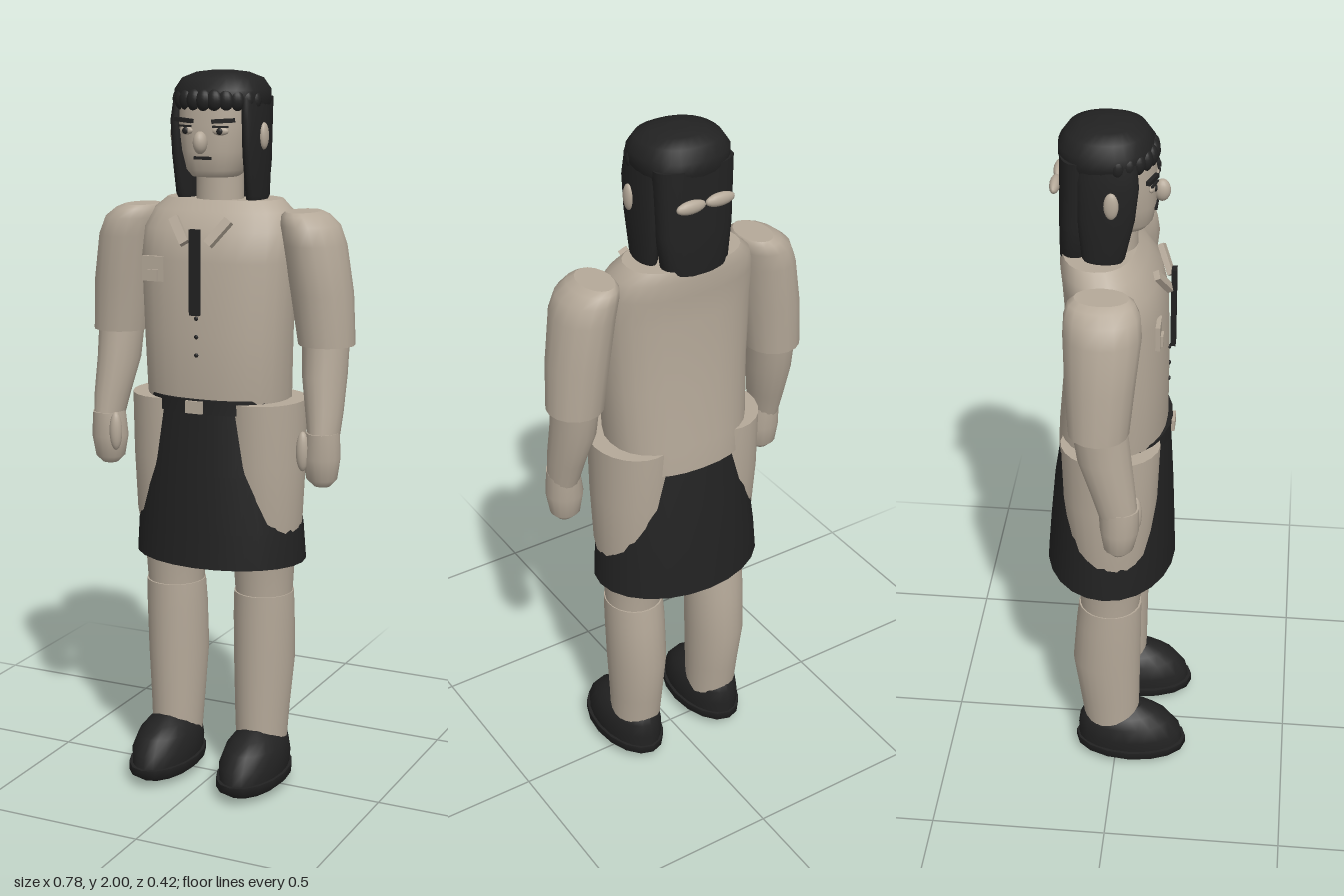
import * as THREE from 'three';

const tan = new THREE.MeshStandardMaterial({ color: 0xb5a999 });
tan.name = 'tan';
const black = new THREE.MeshStandardMaterial({ color: 0x222222 });
black.name = 'black';

// Closed body through oval rings, bottom to top: [y, centreX, halfWidth, zFront, zBack]
function loft(rings, segs = 24, n = 2) {
  const pos = [], idx = [];
  const sp = (v) => Math.sign(v) * Math.pow(Math.abs(v), 2 / n);
  const addRing = ([y, cx, rx, zf, zb]) => {
    const start = pos.length / 3;
    for (let j = 0; j < segs; j++) {
      const t = (j / segs) * Math.PI * 2;
      pos.push(cx + rx * sp(Math.sin(t)), y, (zf + zb) / 2 + ((zf - zb) / 2) * sp(Math.cos(t)));
    }
    return start;
  };
  const starts = rings.map(addRing);
  for (let i = 0; i < rings.length - 1; i++) {
    for (let j = 0; j < segs; j++) {
      const k = (j + 1) % segs, a = starts[i], b = starts[i + 1];
      idx.push(a + j, a + k, b + k, a + j, b + k, b + j);
    }
  }
  // Separate cap rings keep the end edges sharp
  [rings[0], rings[rings.length - 1]].forEach((r, top) => {
    const s = addRing(r), c = pos.length / 3;
    pos.push(r[1], r[0], (r[3] + r[4]) / 2);
    for (let j = 0; j < segs; j++) {
      const k = (j + 1) % segs;
      if (top) idx.push(c, s + j, s + k);
      else idx.push(c, s + k, s + j);
    }
  });
  const g = new THREE.BufferGeometry();
  g.setAttribute('position', new THREE.Float32BufferAttribute(pos, 3));
  g.setIndex(idx);
  g.computeVertexNormals();
  return g;
}

export function createModel() {
  const model = new THREE.Group();
  const add = (name, geo, mat, x = 0, y = 0, z = 0) => {
    const m = new THREE.Mesh(geo, mat);
    m.name = name;
    m.position.set(x, y, z);
    model.add(m);
    return m;
  };
  const box = (name, mat, w, h, d, x, y, z) => add(name, new THREE.BoxGeometry(w, h, d), mat, x, y, z);
  const ball = (name, mat, rx, ry, rz, x, y, z) => {
    const m = add(name, new THREE.SphereGeometry(1, 16, 12), mat, x, y, z);
    m.scale.set(rx, ry, rz);
    return m;
  };

  // Shirt body, hanging lower at the back
  add('shirt', loft([
    [1.05, 0, 0.195, 0.11, -0.168], [1.13, 0, 0.205, 0.13, -0.165], [1.3, 0, 0.212, 0.13, -0.15],
    [1.5, 0, 0.222, 0.125, -0.145], [1.58, 0, 0.22, 0.105, -0.15], [1.63, 0, 0.2, 0.07, -0.155],
    [1.66, 0, 0.165, 0.045, -0.15],
  ], 28, 2.3), tan);

  // Skirt and belt
  add('skirt', loft([
    [0.66, 0, 0.25, 0.157, -0.208], [0.76, 0, 0.243, 0.154, -0.2],
    [0.92, 0, 0.222, 0.148, -0.185], [1.1, 0, 0.2, 0.138, -0.158],
  ], 24), black);
  add('belt', loft([[1.09, 0, 0.2, 0.143, -0.155], [1.13, 0, 0.2, 0.143, -0.155]], 24), black);
  box('buckle', tan, 0.05, 0.034, 0.012, 0, 1.11, 0.144);

  // Tie, buttons and pocket
  box('tie', black, 0.028, 0.23, 0.014, 0, 1.475, 0.14);
  for (const y of [1.35, 1.3, 1.25]) ball('button', black, 0.006, 0.006, 0.004, 0, y, 0.131);
  box('pocket', tan, 0.065, 0.068, 0.012, -0.138, 1.475, 0.111);
  box('pocketPatch', tan, 0.03, 0.03, 0.008, -0.137, 1.458, 0.12);

  // Neck, head and face
  add('neck', loft([[1.62, 0, 0.066, 0.045, -0.08], [1.76, 0, 0.064, 0.045, -0.08]]), tan);
  add('head', loft([
    [1.722, 0, 0.062, 0.07, -0.06], [1.74, 0, 0.078, 0.084, -0.085], [1.79, 0, 0.093, 0.092, -0.11],
    [1.86, 0, 0.104, 0.092, -0.12], [1.93, 0, 0.105, 0.085, -0.12],
  ], 28, 2.4), tan);
  ball('nose', tan, 0.019, 0.03, 0.022, 0, 1.815, 0.105);
  box('mouth', black, 0.05, 0.008, 0.008, 0, 1.774, 0.091);

  // Hair cap, fringe, back hair and bow
  add('hairCap', loft([
    [1.895, 0, 0.118, 0.072, -0.148], [1.92, 0, 0.128, 0.085, -0.156], [1.95, 0, 0.128, 0.085, -0.156],
    [1.98, 0, 0.108, 0.065, -0.135], [1.995, 0, 0.07, 0.03, -0.1], [2.0, 0, 0.03, -0.01, -0.06],
  ], 28, 2.3), black);
  for (let i = -5; i <= 5; i++) {
    const t = i * 0.27;
    ball('fringeLock', black, 0.023, 0.03, 0.02, 0.108 * Math.sin(t), 1.924, -0.02 + 0.1 * Math.cos(t));
  }
  add('backHair', loft([
    [1.62, 0, 0.06, -0.09, -0.145], [1.645, 0, 0.095, -0.07, -0.156], [1.75, 0, 0.108, -0.06, -0.156],
    [1.93, 0, 0.115, -0.05, -0.152],
  ], 24, 2.4), black);

  for (const s of [1, -1]) {
    // Rings are written for the left side and mirrored by their centre
    const side = (name, mat, rings, segs, n) =>
      add(name, loft(rings.map(([y, cx, ...r]) => [y, cx * s, ...r]), segs, n), mat);

    ball('bow', tan, 0.043, 0.018, 0.014, 0.043 * s, 1.84, -0.162);
    side('sideHair', black, [
      [1.645, 0.1, 0.02, 0.005, -0.075], [1.67, 0.104, 0.026, 0.02, -0.09],
      [1.78, 0.105, 0.027, 0.045, -0.1], [1.87, 0.105, 0.026, 0.055, -0.1], [1.93, 0.1, 0.022, 0.05, -0.1],
    ], 20);
    ball('ear', tan, 0.012, 0.036, 0.019, 0.132 * s, 1.83, -0.012);

    // Eyes and brows
    const brow = box('brow', black, 0.062, 0.011, 0.012, 0.058 * s, 1.872, 0.085);
    brow.rotation.set(0, 0.3 * s, 0.06 * s);
    const eye = ball('eye', tan, 0.022, 0.011, 0.008, 0.05 * s, 1.845, 0.085);
    eye.rotation.y = 0.25 * s;
    ball('pupil', black, 0.009, 0.009, 0.005, 0.05 * s, 1.845, 0.092);
    const lid = box('eyelid', black, 0.042, 0.005, 0.006, 0.052 * s, 1.857, 0.09);
    lid.rotation.y = 0.25 * s;

    // Collar point
    const collar = box('collar', tan, 0.026, 0.085, 0.016, 0.058 * s, 1.582, 0.115);
    collar.rotation.set(-0.45, 0, -0.6 * s);

    // Sleeve, forearm and hand
    side('sleeve', tan, [
      [1.28, 0.314, 0.077, 0.052, -0.107], [1.42, 0.3, 0.084, 0.066, -0.115],
      [1.55, 0.28, 0.083, 0.08, -0.12], [1.6, 0.265, 0.078, 0.075, -0.118],
      [1.625, 0.25, 0.062, 0.06, -0.11], [1.635, 0.243, 0.045, 0.045, -0.095],
    ], 16);
    side('forearm', tan, [
      [1.02, 0.33, 0.04, 0.078, -0.025], [1.1, 0.325, 0.05, 0.07, -0.05],
      [1.2, 0.315, 0.06, 0.058, -0.085], [1.3, 0.312, 0.063, 0.047, -0.1],
    ], 16);
    side('hand', tan, [
      [0.9, 0.327, 0.022, 0.045, 0.005], [0.92, 0.326, 0.042, 0.066, -0.015],
      [0.98, 0.325, 0.052, 0.08, -0.025], [1.05, 0.328, 0.044, 0.08, -0.028],
    ], 16);
    ball('thumb', tan, 0.018, 0.055, 0.018, 0.286 * s, 1.0, 0.066);

    // Hip, thigh and lower leg
    side('thigh', tan, [
      [0.55, 0.138, 0.079, 0.065, -0.1], [0.66, 0.138, 0.085, 0.075, -0.108],
      [0.78, 0.137, 0.108, 0.095, -0.125], [0.95, 0.136, 0.114, 0.113, -0.145],
      [1.12, 0.136, 0.115, 0.12, -0.15],
    ], 24);
    side('lowerLeg', tan, [
      [0.1, 0.134, 0.07, 0.065, -0.09], [0.22, 0.134, 0.076, 0.068, -0.106],
      [0.36, 0.136, 0.084, 0.07, -0.125], [0.5, 0.137, 0.085, 0.072, -0.114],
      [0.57, 0.138, 0.083, 0.072, -0.106],
    ], 24);

    // Shoe
    side('shoeUpper', black, [
      [0.05, 0.138, 0.084, 0.198, -0.113], [0.09, 0.138, 0.088, 0.192, -0.113],
      [0.13, 0.138, 0.078, 0.16, -0.108], [0.155, 0.137, 0.06, 0.12, -0.09],
      [0.174, 0.137, 0.03, 0.075, -0.03],
    ], 20);
    side('sole', black, [
      [0, 0.138, 0.055, 0.13, -0.06], [0.015, 0.138, 0.075, 0.18, -0.1],
      [0.032, 0.138, 0.093, 0.208, -0.12], [0.055, 0.138, 0.093, 0.208, -0.12],
    ], 16);
  }
  return model;
}
